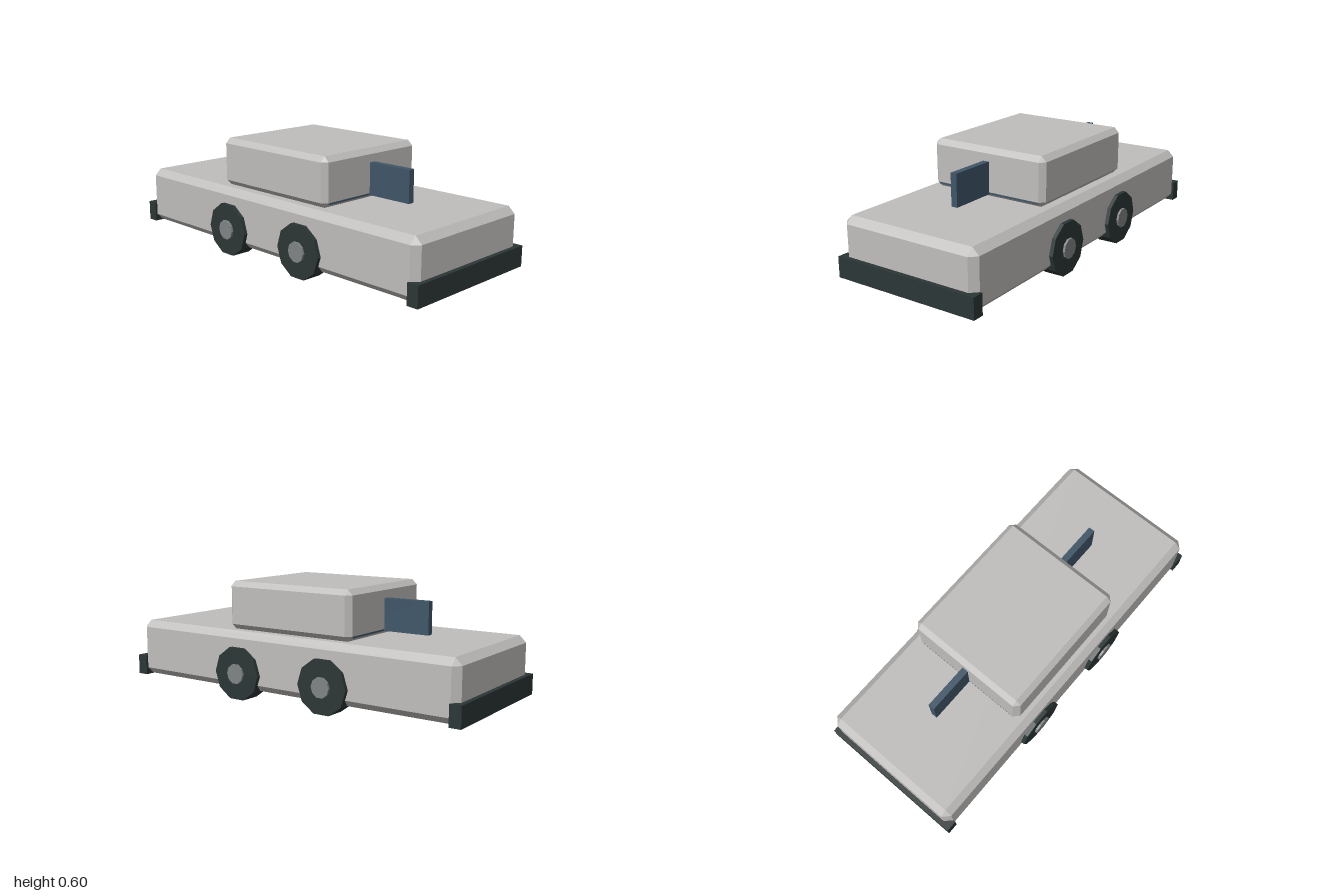
import * as THREE from 'three';
import { ConvexGeometry } from 'three/addons/geometries/ConvexGeometry.js';

const paint = new THREE.MeshStandardMaterial({ color: 0xc0bebc });
paint.name = 'grey paint';
const rubber = new THREE.MeshStandardMaterial({ color: 0x2c3636 });
rubber.name = 'dark rubber';
const glass = new THREE.MeshStandardMaterial({ color: 0x405668 });
glass.name = 'blue glass';
const metal = new THREE.MeshStandardMaterial({ color: 0x808484 });
metal.name = 'hub metal';

// Box with every edge and corner cut by c
function chamferedBox(w, h, d, c) {
  const x = w / 2, y = h / 2, z = d / 2, points = [];
  for (const sx of [-1, 1]) for (const sy of [-1, 1]) for (const sz of [-1, 1]) {
    points.push(
      new THREE.Vector3(sx * x, sy * (y - c), sz * (z - c)),
      new THREE.Vector3(sx * (x - c), sy * y, sz * (z - c)),
      new THREE.Vector3(sx * (x - c), sy * (y - c), sz * z));
  }
  return new ConvexGeometry(points);
}

// Ten-sided faceted disc with its axis along x
function disc(radius, width) {
  const g = new THREE.CylinderGeometry(radius, radius, width, 10).toNonIndexed();
  g.computeVertexNormals();
  return g.rotateZ(Math.PI / 2);
}

export function createModel() {
  const car = new THREE.Group();
  car.name = 'car';
  const add = (name, geometry, material, x, y, z) => {
    const mesh = new THREE.Mesh(geometry, material);
    mesh.name = name;
    mesh.position.set(x, y, z);
    car.add(mesh);
  };

  // Main shell
  add('body', chamferedBox(0.776, 0.3, 1.952, 0.035), paint, 0, 0.2, 0);
  add('cabin', chamferedBox(0.666, 0.25, 0.756, 0.027), paint, 0, 0.475, 0);

  for (const s of [1, -1]) {
    const end = s > 0 ? 'front' : 'rear';
    add(end + 'Bumper', new THREE.BoxGeometry(0.8, 0.106, 0.06), rubber, 0, 0.1, s * 0.97);

    // Crosswise pane set into the cabin, and lengthwise pane standing out of it
    add(end + 'Windscreen', new THREE.BoxGeometry(0.6, 0.166, 0.034), glass, 0, 0.45, s * 0.36);
    add(end + 'Pane', new THREE.BoxGeometry(0.034, 0.166, 0.5), glass, 0, 0.45, s * 0.377);

    // Wheels and hubs on both sides
    for (const m of [1, -1]) {
      const side = m > 0 ? 'Left' : 'Right';
      add(end + side + 'Wheel', disc(0.141, 0.107), rubber, m * 0.355, 0.135, s * 0.267);
      add(end + side + 'Hub', disc(0.052, 0.12), metal, m * 0.36, 0.135, s * 0.267);
    }
  }
  return car;
}
